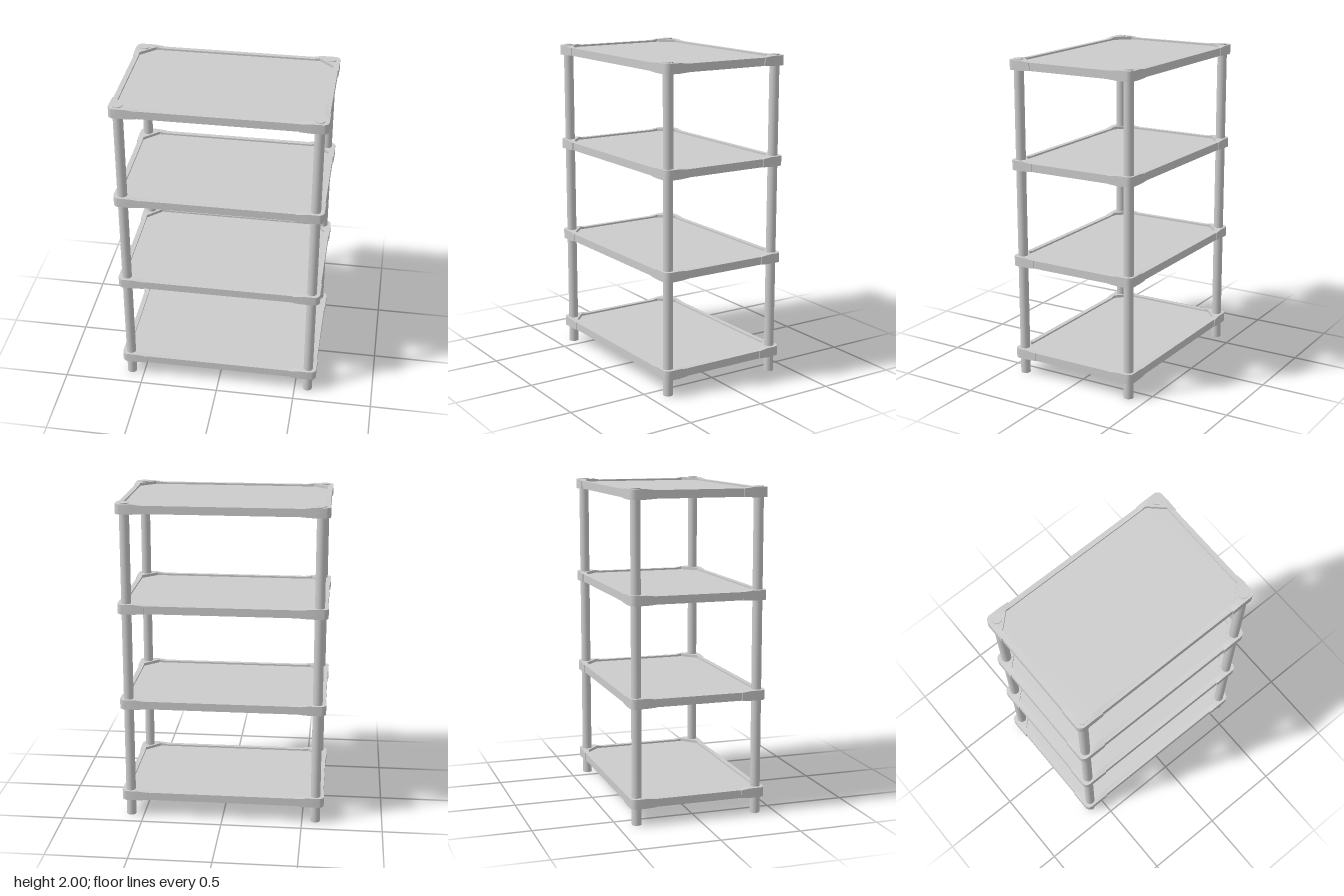
import * as THREE from 'three';
import { toCreasedNormals } from 'three/addons/utils/BufferGeometryUtils.js';

const SHELVES = 4, PITCH = 0.609, FIRST = 0.108;
const material = new THREE.MeshStandardMaterial({ color: 0xcccccc });

function mesh(name, geometry) {
  const m = new THREE.Mesh(geometry, material);
  m.name = name;
  return m;
}

// Stations of the rim around one corner: outer x, z, inner x, z, bottom, top
function cornerStations() {
  const low = [0.004, 0.053], high = [0, 0.06];
  const list = [
    [0.63, 0.27, 0.6, 0.27, ...low],
    [0.635, 0.27, 0.6, 0.27, ...low],
    [0.635, 0.33, 0.6, 0.305, ...high],
  ];
  const r = 0.035, steps = 8;
  for (let i = 0; i <= steps; i++) {
    const t = i / steps, a = t * Math.PI / 2;
    list.push([0.6 + r * Math.cos(a), 0.39 + r * Math.sin(a),
      0.6 - 0.09 * t, 0.305 + 0.085 * t, ...high]);
  }
  list.push(
    [0.53, 0.425, 0.51, 0.39, ...high],
    [0.47, 0.425, 0.47, 0.39, ...low],
    [0.47, 0.42, 0.47, 0.39, ...low],
  );
  return list;
}

// Closed rim swept through the mirrored stations, with thicker corners
function rimGeometry() {
  const sections = [];
  for (const [sx, sz] of [[1, 1], [-1, 1], [-1, -1], [1, -1]]) {
    const corner = cornerStations();
    if (sx * sz < 0) corner.reverse();
    for (const [ox, oz, ix, iz, y0, y1] of corner) {
      sections.push([
        [sx * ox, y0, sz * oz], [sx * ox, y1, sz * oz],
        [sx * ix, y1, sz * iz], [sx * ix, y0, sz * iz],
      ]);
    }
  }
  const positions = [];
  sections.forEach((s, i) => {
    const n = sections[(i + 1) % sections.length];
    for (let k = 0; k < 4; k++) {
      const j = (k + 1) % 4;
      for (const p of [n[k], s[k], s[j], n[k], s[j], n[j]]) positions.push(...p);
    }
  });
  const g = new THREE.BufferGeometry();
  g.setAttribute('position', new THREE.Float32BufferAttribute(positions, 3));
  return toCreasedNormals(g, 0.5);
}

// Recessed panel with cut corners
function panelGeometry() {
  const x = 0.6, z = 0.39, cx = 0.51, cz = 0.305;
  const shape = new THREE.Shape([
    [x, -cz], [x, cz], [cx, z], [-cx, z], [-x, cz], [-x, -cz], [-cx, -z], [cx, -z],
  ].map(([a, b]) => new THREE.Vector2(a, b)));
  return new THREE.ExtrudeGeometry(shape, { depth: 0.038, bevelEnabled: false })
    .rotateX(-Math.PI / 2).translate(0, 0.004, 0);
}

export function createModel() {
  const model = new THREE.Group();
  model.name = 'shelfRack';

  // Shelves
  const rim = rimGeometry(), panel = panelGeometry();
  for (let i = 0; i < SHELVES; i++) {
    const shelf = new THREE.Group();
    shelf.name = `shelf${i + 1}`;
    shelf.add(mesh('rim', rim), mesh('panel', panel));
    shelf.position.y = FIRST + i * PITCH;
    model.add(shelf);
  }

  // Round corner posts
  const post = new THREE.CylinderGeometry(0.03, 0.03, 2, 32);
  for (const [side, x] of [['Left', 0.583], ['Right', -0.583]]) {
    for (const [end, z] of [['front', 0.38], ['back', -0.38]]) {
      const leg = mesh(`${end}${side}Post`, post);
      leg.position.set(x, 1, z);
      model.add(leg);
    }
  }
  return model;
}
